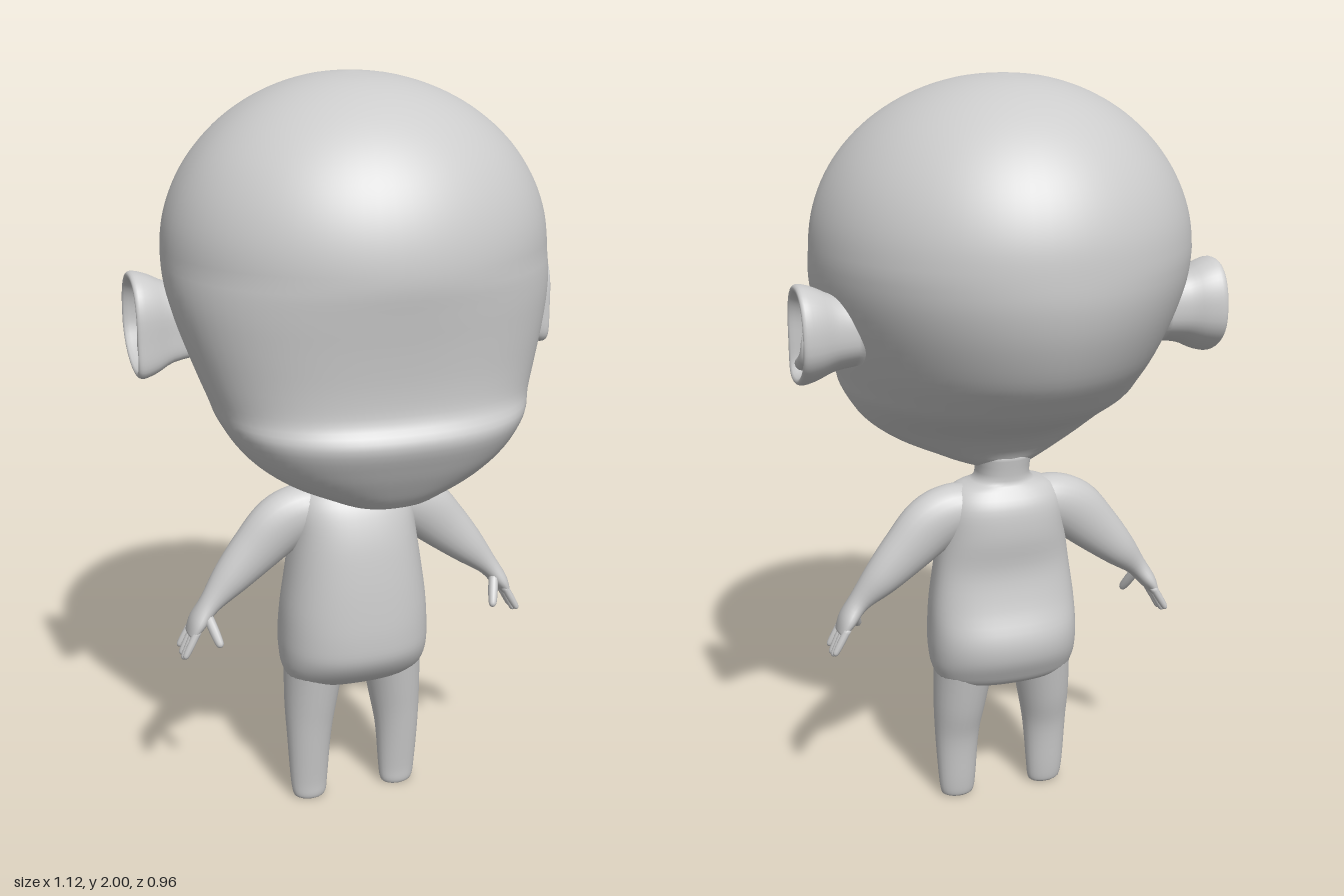
import * as THREE from 'three';
import { mergeGeometries } from 'three/addons/utils/BufferGeometryUtils.js';

const clay = new THREE.MeshStandardMaterial({ color: 0xcccccc });
clay.name = 'clay grey';

const signedPow = (v, p) => Math.sign(v) * Math.abs(v) ** p;
const turn = (sides, fn) => Array.from({ length: sides }, (_, j) => {
  const t = (j / sides) * Math.PI * 2;
  return fn(Math.cos(t), Math.sin(t));
});

// Catmull-Rom interpolation of every column of a table
function smooth(rows, sub) {
  const out = [];
  const n = rows.length;
  for (let i = 0; i < n - 1; i++) {
    const [a, b, c, d] = [rows[Math.max(i - 1, 0)], rows[i], rows[i + 1], rows[Math.min(i + 2, n - 1)]];
    for (let s = 0; s < sub; s++) {
      const t = s / sub;
      out.push(b.map((v, k) => v + 0.5 * t * (c[k] - a[k]
        + t * (2 * a[k] - 5 * v + 4 * c[k] - d[k] + t * (3 * (v - c[k]) + d[k] - a[k])))));
    }
  }
  out.push(rows[n - 1]);
  return out;
}

// Skin over closed rings of equal length, closed at both ends
function skin(rings) {
  const m = rings[0].length, n = rings.length;
  const pos = rings.flat(2), idx = [];
  for (let i = 0; i < n - 1; i++) {
    for (let j = 0; j < m; j++) {
      const a = i * m + j, b = i * m + (j + 1) % m, c = a + m, d = b + m;
      idx.push(a, c, b, b, c, d);
    }
  }
  [0, n - 1].forEach((r, e) => {
    for (let k = 0; k < 3; k++) pos.push(rings[r].reduce((s, p) => s + p[k], 0) / m);
    for (let j = 0; j < m; j++) {
      const a = r * m + j, b = r * m + (j + 1) % m;
      idx.push(n * m + e, ...(e ? [b, a] : [a, b]));
    }
  });
  const g = new THREE.BufferGeometry();
  g.setAttribute('position', new THREE.Float32BufferAttribute(pos, 3));
  g.setIndex(idx);
  g.computeVertexNormals();
  return g;
}

// Level ring: half width, front and back depth, widest depth, front and back squareness
const levelRing = (y, w, zf, zb, zc, nf, nb, sides) => turn(sides, (c, s) => {
  const p = 2 / (s > 0 ? nf : nb);
  return [w * signedPow(c, p), y, zc + (s > 0 ? zf - zc : zb - zc) * Math.abs(s) ** p];
});

// Limb from rows [x, y, z, radiusAcross, radiusDeep]
function limb(rows, sub = 5, sides = 24) {
  const pts = smooth(rows, sub);
  const at = (i) => new THREE.Vector3(...pts[Math.min(Math.max(i, 0), pts.length - 1)].slice(0, 3));
  return skin(pts.map((p, i) => {
    const dir = at(i + 1).sub(at(i - 1)).normalize();
    const across = dir.clone().cross(new THREE.Vector3(0, 0, 1)).normalize();
    const deep = across.clone().cross(dir);
    return turn(sides, (c, s) => at(i).addScaledVector(across, p[3] * c).addScaledVector(deep, p[4] * s).toArray());
  }));
}

function mirrored(geo) {
  const g = geo.clone().scale(-1, 1, 1);
  const a = g.index.array;
  for (let i = 0; i < a.length; i += 3) [a[i], a[i + 1]] = [a[i + 1], a[i]];
  g.computeVertexNormals();
  return g;
}

// Short tapered digit with a rounded tip
function digit(from, to, r) {
  const mix = (t, k) => [...from.map((v, i) => v + (to[i] - v) * t), r * k, r * k];
  return limb([mix(0, 1), mix(0.5, 1), mix(0.85, 0.85), mix(0.96, 0.6), mix(1, 0.2)], 3, 10);
}

function headGeometry() {
  const top = 1.57;
  // jaw and face: [y, halfWidth, zFront, zBack]
  const rows = [
    [0.964, 0.04, 0.29, 0.1],
    [0.977, 0.12, 0.355, -0.02],
    [1.0, 0.18, 0.382, -0.055],
    [1.04, 0.265, 0.41, -0.08],
    [1.1, 0.34, 0.445, -0.145],
    [1.175, 0.39, 0.477, -0.285],
    [1.23, 0.41, 0.45, -0.35],
    [1.3, 0.435, 0.447, -0.41],
    [1.4, 0.467, 0.457, -0.456],
    [1.49, 0.487, 0.47, -0.478],
  ];
  // rounded crown
  for (let k = 0; k <= 8; k++) {
    const a = (k / 8) * 1.55, c = Math.cos(a);
    rows.push([top + 0.43 * Math.sin(a), 0.49 * c, 0.48 * c ** 0.95, -0.48 * c]);
  }
  return skin(smooth(rows, 4).map(([y, w, zf, zb]) => {
    const low = Math.max(0, top - y);
    // the widest line moves forward towards the jaw
    const zc = 0.28 * low + 0.04 * Math.min(1, w / 0.4);
    return levelRing(y, w, zf, zb, Math.min(zc, 0.2), 2 + low, 2 - 0.4 * low, 72);
  }));
}

function torsoGeometry() {
  const rows = [
    [0.354, 0.08, 0.06, -0.035],
    [0.375, 0.175, 0.11, -0.085],
    [0.41, 0.199, 0.148, -0.11],
    [0.46, 0.206, 0.178, -0.132],
    [0.52, 0.206, 0.184, -0.134],
    [0.6, 0.201, 0.181, -0.106],
    [0.7, 0.187, 0.172, -0.089],
    [0.8, 0.172, 0.156, -0.1],
    [0.88, 0.163, 0.128, -0.095],
    [0.925, 0.135, 0.095, -0.07],
    [0.95, 0.075, 0.08, -0.056],
    [1.02, 0.08, 0.088, -0.065],
  ];
  return skin(smooth(rows, 4).map(([y, w, zf, zb]) => levelRing(y, w, zf, zb, 0.015, 2.3, 2.3, 48)));
}

function legGeometry() {
  return limb([
    [0.13, 0, 0.026, 0.037, 0.025],
    [0.13, 0.012, 0.026, 0.047, 0.032],
    [0.131, 0.06, 0.024, 0.053, 0.038],
    [0.13, 0.19, 0.025, 0.062, 0.054],
    [0.123, 0.3, 0.019, 0.073, 0.077],
    [0.108, 0.45, 0.015, 0.085, 0.105],
  ]);
}

function armGeometry() {
  return limb([
    [0.07, 0.872, 0.012, 0.055, 0.07],
    [0.135, 0.862, 0.012, 0.075, 0.068],
    [0.2, 0.83, 0.011, 0.082, 0.062],
    [0.27, 0.765, 0.01, 0.07, 0.054],
    [0.34, 0.695, 0.012, 0.052, 0.047],
    [0.4, 0.632, 0.019, 0.03, 0.035],
    [0.435, 0.585, 0.018, 0.023, 0.045],
    [0.455, 0.55, 0.017, 0.012, 0.04],
  ]);
}

function fingersGeometry() {
  const digits = [0.497, 0.485, 0.488, 0.5].map((y, i) =>
    digit([0.442, 0.57, 0.05 - 0.022 * i], [0.482, y, 0.055 - 0.025 * i], 0.0105));
  digits.push(digit([0.412, 0.605, 0.04], [0.39, 0.532, 0.09], 0.0135));
  return mergeGeometries(digits);
}

// Cupped ear: one outline repeated at [scale, x] from root to rim to bowl
function earGeometry() {
  const layers = [[0.68, 0.4], [0.76, 0.465], [0.92, 0.51], [1, 0.545], [0.96, 0.56],
    [0.86, 0.557], [0.74, 0.523], [0.55, 0.511], [0.2, 0.508]];
  // the lobe leans forward
  const bowl = skin(smooth(layers, 3).map(([k, x]) => turn(48, (c, s) => [
    x,
    1.39 + 0.13 * k * signedPow(c, 0.85),
    -0.075 + k * (-0.1 * signedPow(s, 0.85) + 0.05 * Math.max(0, -c) ** 2),
  ])));
  // curled ridge inside the bowl
  const ridge = limb([
    [0.512, 1.405, -0.012, 0.01, 0.01],
    [0.527, 1.38, -0.055, 0.016, 0.016],
    [0.532, 1.335, -0.05, 0.018, 0.018],
    [0.535, 1.305, -0.005, 0.018, 0.018],
  ], 4, 12);
  return mergeGeometries([bowl, ridge]);
}

export function createModel() {
  const model = new THREE.Group();
  model.name = 'bigHeadedFigure';
  const add = (name, geo) => {
    const mesh = new THREE.Mesh(geo, clay);
    mesh.name = name;
    model.add(mesh);
  };
  add('head', headGeometry());
  add('torso', torsoGeometry());
  const pairs = { Leg: legGeometry(), Arm: armGeometry(), Fingers: fingersGeometry(), Ear: earGeometry() };
  for (const [part, geo] of Object.entries(pairs)) {
    add('left' + part, geo);
    add('right' + part, mirrored(geo));
  }
  return model;
}
